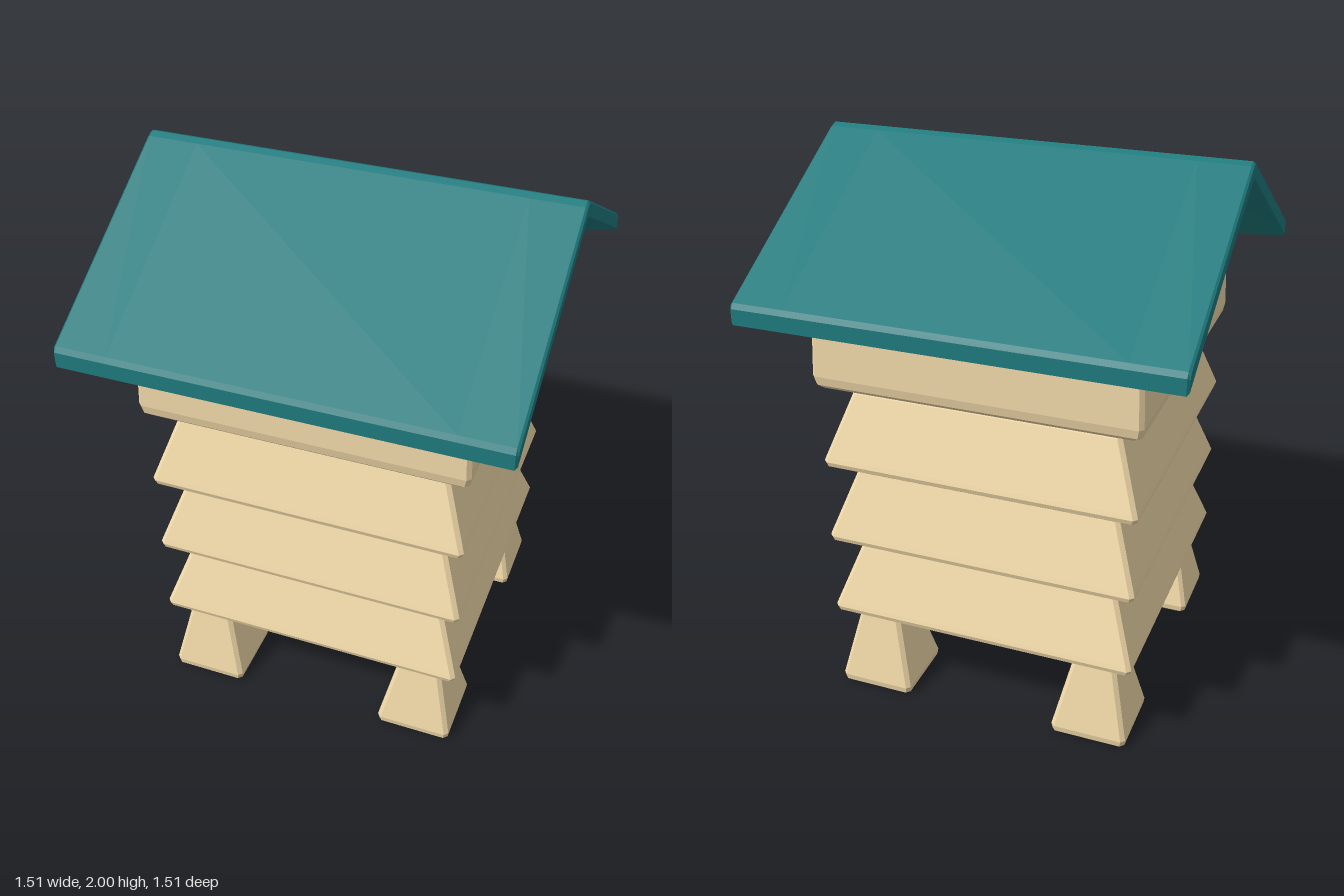
import * as THREE from 'three';

const wood = new THREE.MeshStandardMaterial({ color: 0xf0d8a8, flatShading: true });
const teal = new THREE.MeshStandardMaterial({ color: 0x1f7b7e, flatShading: true });

// Joins equal, even-sized loops of [x, y, z] and closes both ends.
// Loops run counterclockwise seen from the last ring.
function loft(rings) {
  const n = rings[0].length, last = rings.length - 1, pos = [];
  const quad = (a, b, c, d) => pos.push(...a, ...b, ...c, ...a, ...c, ...d);
  for (let k = 0; k < last; k++) {
    for (let i = 0; i < n; i++) {
      const j = (i + 1) % n;
      quad(rings[k][i], rings[k][j], rings[k + 1][j], rings[k + 1][i]);
    }
  }
  const s = rings[0], e = rings[last];
  for (let i = 0; i < n / 2 - 1; i++) {
    quad(e[i], e[i + 1], e[n - 2 - i], e[n - 1 - i]);
    quad(s[n - 1 - i], s[n - 2 - i], s[i + 1], s[i]);
  }
  const g = new THREE.BufferGeometry();
  g.setAttribute('position', new THREE.Float32BufferAttribute(pos, 3));
  g.computeVertexNormals();
  return g;
}

// Square block with bevelled corners; levels are [y, half width]
function block(levels, c) {
  return loft(levels.map(([y, h]) => {
    const k = h - c;
    return [[-k, h], [k, h], [h, k], [h, -k], [k, -h], [-k, -h], [-h, -k], [-h, k]]
      .map(([x, z]) => [x, y, z]);
  }));
}

export function createModel() {
  const model = new THREE.Group();
  const add = (name, geometry, material = wood, x = 0, y = 0, z = 0) => {
    const m = new THREE.Mesh(geometry, material);
    m.name = name;
    m.position.set(x, y, z);
    model.add(m);
  };

  // Four splayed legs
  const leg = block([[0, 0.128], [0.008, 0.136], [0.03, 0.139], [0.3, 0.077], [0.33, 0.065]], 0.014);
  for (const sx of [1, -1]) for (const sz of [1, -1]) {
    add((sz > 0 ? 'front' : 'back') + (sx > 0 ? 'Left' : 'Right') + 'Leg', leg, wood, sx * 0.42, 0, sz * 0.433);
  }

  // Three stacked sloping tiers
  const tier = block([[0, 0.553], [0.008, 0.565], [0.025, 0.57], [0.04, 0.565], [0.265, 0.485], [0.29, 0.473], [0.312, 0.455]], 0.014);
  for (let i = 0; i < 3; i++) add('tier' + (i + 1), tier, wood, 0, 0.316 + i * 0.305, 0);

  // Hollow upper box: wall profile swept round a square, open at the doorway
  const door = 0.118, c = 0.014, eave = 1.565, outer = 0.57, thick = 0.06;
  const profile = [[0.52, 1.238], [0.56, 1.238], [0.575, 1.253], [0.581, 1.285], [outer, eave], [outer - thick, eave]];
  const path = [
    d => [d, door], d => [d, d - c], d => [d - c, d], d => [c - d, d], d => [-d, d - c],
    d => [-d, c - d], d => [c - d, -d], d => [d - c, -d], d => [d, c - d], d => [d, -door],
  ];
  add('upperWalls', loft(path.map(at => profile.map(([d, y]) => {
    const [x, z] = at(d);
    return [x, y, z];
  }))));
  add('upperFloor', new THREE.BoxGeometry(1.04, 0.015, 1.04), wood, 0, 1.25, 0);

  // Panels lying across x, extruded to the wall thickness
  const panel = shape => new THREE.ExtrudeGeometry(shape, { depth: thick, bevelEnabled: false, curveSegments: 12 })
    .rotateY(Math.PI / 2);

  // Arched doorway, following the slight taper of the wall
  const arch = new THREE.Shape();
  arch.moveTo(-door, eave);
  arch.lineTo(-door, 1.285);
  arch.absellipse(0, 1.285, door, 0.092, Math.PI, 0, true);
  arch.lineTo(door, eave);
  const archPanel = panel(arch).translate(outer - thick, 0, 0);
  const p = archPanel.attributes.position;
  for (let i = 0; i < p.count; i++) {
    if (p.getX(i) > outer - 0.01) p.setX(i, p.getX(i) + (eave - p.getY(i)) * 0.039);
  }
  add('doorArch', archPanel);

  // Triangular gables
  const gable = panel(new THREE.Shape([
    new THREE.Vector2(-outer, eave), new THREE.Vector2(outer, eave), new THREE.Vector2(0, 1.893),
  ]));
  add('leftGable', gable, wood, outer - thick);
  add('rightGable', gable, wood, -outer);

  // Roof: the underside slopes down from the rim to the wall tops
  const section = (x, ridge, mid, inset = 0) => {
    const e = 0.755 - inset;
    const under = [[e, 1.515 + inset], [0.57, mid], [0.02, ridge - 0.008], [0, ridge],
      [-0.02, ridge - 0.008], [-0.57, mid], [-e, 1.515 + inset]];
    const top = [[-e, 1.57 - inset], [-0.742, 1.587 - inset], [-0.025, 1.99 - inset], [0, 2 - inset],
      [0.025, 1.99 - inset], [0.742, 1.587 - inset], [e, 1.57 - inset]];
    return [...under, ...top].map(([z, y]) => [x, y, z]);
  };
  add('roof', loft([
    section(-0.755, 1.945, 1.625, 0.008),
    section(-0.747, 1.94, 1.62),
    section(-0.57, 1.888, 1.561),
    section(0.57, 1.888, 1.561),
    section(0.747, 1.94, 1.62),
    section(0.755, 1.945, 1.625, 0.008),
  ]), teal);

  return model;
}
